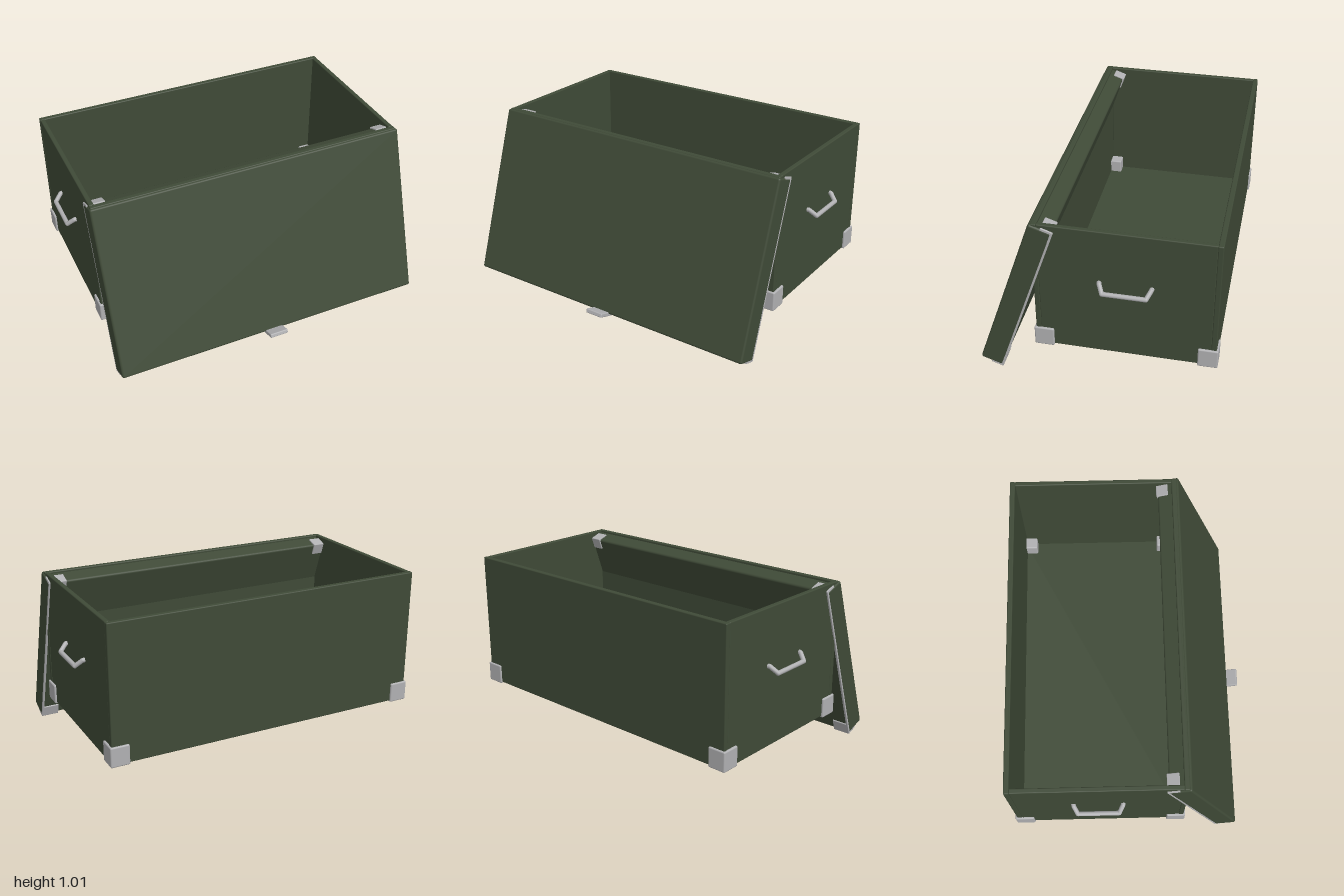
import * as THREE from 'three';
import { RoundedBoxGeometry } from 'three/addons/geometries/RoundedBoxGeometry.js';

export function createModel() {
  const green = new THREE.MeshStandardMaterial({ color: 0x3f4a37 });
  green.name = 'olive paint';
  const steel = new THREE.MeshStandardMaterial({ color: 0xb0b0b2 });
  steel.name = 'bare steel';

  const model = new THREE.Group();
  model.name = 'openCrate';

  // Softly bevelled block given by its min and max corners
  function block(parent, name, material, min, max, bevel = 0.006) {
    const size = max.map((v, i) => v - min[i]);
    const mesh = new THREE.Mesh(new RoundedBoxGeometry(...size, 2, bevel), material);
    mesh.position.set(...max.map((v, i) => (v + min[i]) / 2));
    mesh.name = name;
    parent.add(mesh);
  }

  // Same block on the given side (+1 left, -1 right)
  function sideBlock(parent, name, material, side, min, max, bevel) {
    const [a, b] = side > 0 ? [min[0], max[0]] : [-max[0], -min[0]];
    block(parent, name, material, [a, min[1], min[2]], [b, max[1], max[2]], bevel);
  }

  // Body: floor and four walls
  const body = new THREE.Group();
  body.name = 'body';
  model.add(body);
  block(body, 'floor', green, [-0.935, 0.22, -0.685], [0.935, 0.25, 0.295]);
  block(body, 'frontWall', green, [-0.94, 0.22, 0.27], [0.94, 1.01, 0.3]);
  block(body, 'backWall', green, [-0.94, 0.22, -0.69], [0.94, 1.01, -0.66]);

  // Round bar between two points, with a ball closing the bend
  function bar(parent, a, b, radius) {
    const dir = b.clone().sub(a);
    const rod = new THREE.Mesh(new THREE.CylinderGeometry(radius, radius, dir.length(), 12), steel);
    rod.position.copy(a).add(b).multiplyScalar(0.5);
    rod.quaternion.setFromUnitVectors(new THREE.Vector3(0, 1, 0), dir.normalize());
    rod.name = 'handleBar';
    const joint = new THREE.Mesh(new THREE.SphereGeometry(radius, 12, 8), steel);
    joint.position.copy(b);
    joint.name = 'handleBend';
    parent.add(rod, joint);
  }

  for (const side of [1, -1]) {
    sideBlock(body, 'sideWall', green, side, [0.91, 0.22, -0.662], [0.938, 1.01, 0.272]);

    // Corner guards
    sideBlock(body, 'frontCornerGuard', steel, side, [0.84, 0.213, 0.2], [0.95, 0.33, 0.31], 0.008);
    sideBlock(body, 'backCornerGuard', steel, side, [0.84, 0.213, -0.7], [0.95, 0.33, -0.59], 0.008);

    // Drooping carry handle
    const handle = new THREE.Group();
    handle.name = side > 0 ? 'leftHandle' : 'rightHandle';
    const points = [
      [0.93, 0.69, -0.055], [0.948, 0.688, -0.058], [0.986, 0.654, -0.08],
      [0.986, 0.654, -0.312], [0.948, 0.688, -0.334], [0.93, 0.69, -0.337],
    ].map(([x, y, z]) => new THREE.Vector3(side * x, y, z));
    for (let i = 1; i < points.length; i++) bar(handle, points[i - 1], points[i], 0.013);
    model.add(handle);
  }

  // Lid: hangs from its outer top edge, leaning against the front
  const lid = new THREE.Group();
  lid.name = 'lid';
  lid.position.set(0, 1.01, 0.31);
  lid.rotation.x = -0.33;
  model.add(lid);
  block(lid, 'lidPanel', green, [-0.948, -1.015, -0.13], [0.948, 0, 0], 0.012);
  block(lid, 'latchPlate', steel, [-0.056, -1.03, -0.104], [0.056, -1.005, 0.066]);
  for (const side of [1, -1]) {
    sideBlock(lid, 'lidTopGuard', steel, side, [0.84, -0.065, -0.137], [0.946, 0.008, -0.066], 0.004);
    sideBlock(lid, 'lidBottomGuard', steel, side, [0.84, -1.023, -0.137], [0.946, -0.95, -0.066], 0.004);
    sideBlock(lid, 'lidEdgeStrip', steel, side, [0.934, -1.02, -0.137], [0.947, 0.004, -0.125], 0.002);
  }
  return model;
}
